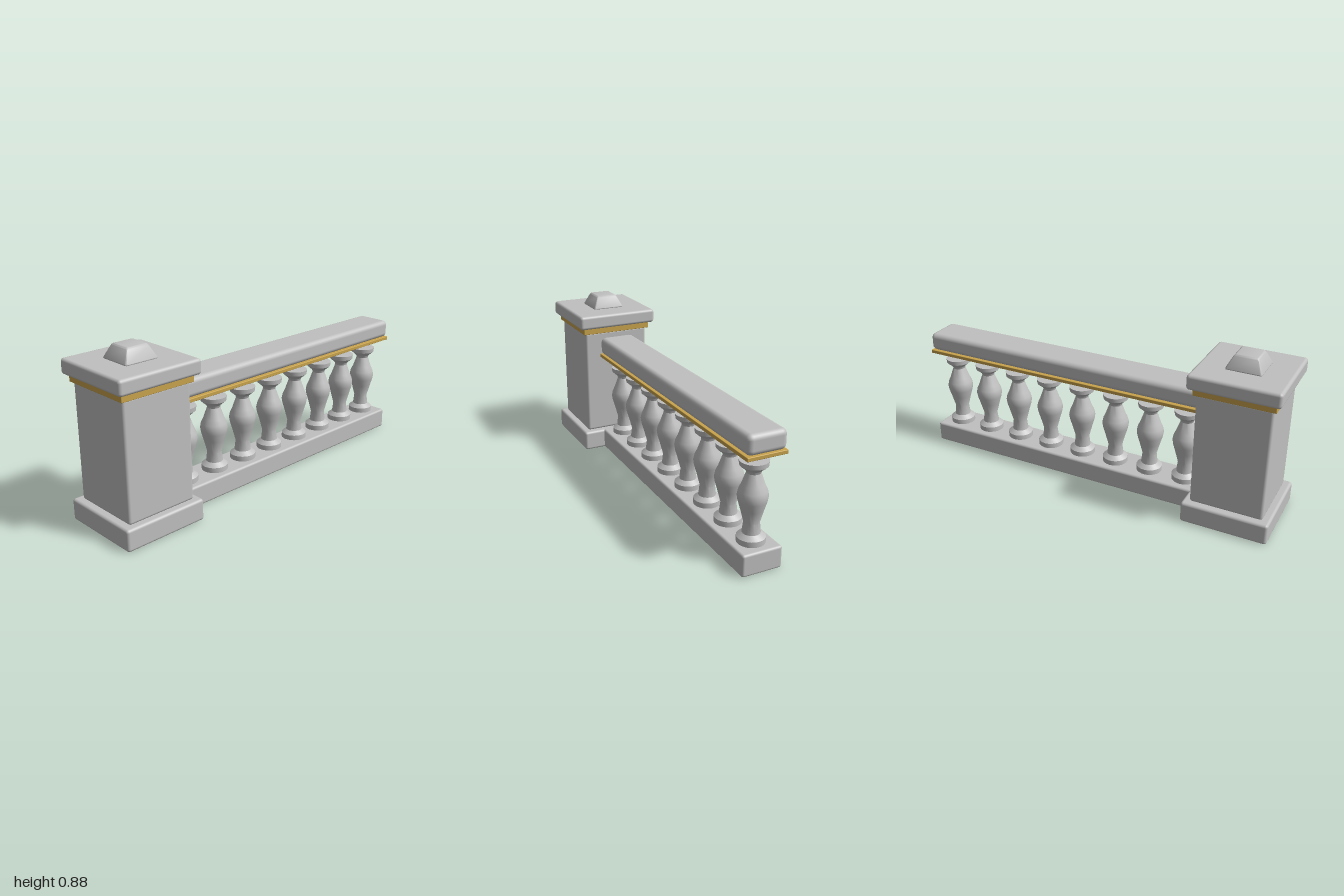
import * as THREE from 'three';
import { RoundedBoxGeometry } from 'three/addons/geometries/RoundedBoxGeometry.js';
import { toCreasedNormals } from 'three/addons/utils/BufferGeometryUtils.js';

const stone = new THREE.MeshStandardMaterial({ color: 0xc0c0c0 });
stone.name = 'stone';
const gold = new THREE.MeshStandardMaterial({ color: 0xc9a44c });
gold.name = 'gold';

// Softened block given by its x range, y range and half depth
function block(name, [x0, x1], [y0, y1], halfZ, radius, material) {
  const geometry = new RoundedBoxGeometry(x1 - x0, y1 - y0, halfZ * 2, 3, radius);
  const mesh = new THREE.Mesh(geometry, material);
  mesh.name = name;
  mesh.position.set((x0 + x1) / 2, (y0 + y1) / 2, 0);
  return mesh;
}

// Corner pier: plinth, shaft, gilt band, cap and tapered finial
function createPier() {
  const pier = new THREE.Group();
  pier.name = 'pier';
  pier.add(
    block('pierPlinth', [-1, -0.558], [0, 0.11], 0.22, 0.014, stone),
    block('pierShaft', [-0.963, -0.592], [0.108, 0.7], 0.186, 0.014, stone),
    block('pierBand', [-0.975, -0.579], [0.694, 0.73], 0.198, 0.003, gold),
    block('pierCap', [-1, -0.553], [0.729, 0.805], 0.225, 0.016, stone)
  );

  const finial = block('pierFinial', [-0.867, -0.687], [0.802, 0.875], 0.09, 0.012, stone);
  const position = finial.geometry.attributes.position;
  for (let i = 0; i < position.count; i++) {
    const height = position.getY(i) / 0.073 + 0.5;
    const scale = 1.03 - 0.4 * height;
    position.setX(i, position.getX(i) * scale);
    position.setZ(i, position.getZ(i) * scale);
  }
  finial.geometry = toCreasedNormals(finial.geometry, 0.5);
  pier.add(finial);
  return pier;
}

// Turned baluster profile: radius, height
const balusterProfile = [
  [0, 0.108], [0.067, 0.108], [0.067, 0.137], [0.043, 0.156], [0.037, 0.207],
  [0.054, 0.271], [0.066, 0.312], [0.07, 0.337], [0.065, 0.362], [0.053, 0.388],
  [0.033, 0.445], [0.037, 0.458], [0.065, 0.482], [0.067, 0.505], [0, 0.505]
].map(([r, y]) => new THREE.Vector2(r, y));

export function createModel() {
  const model = new THREE.Group();
  model.name = 'balustrade';
  model.add(createPier());

  // Bottom rail, handrail and the gilt strip beneath it
  model.add(
    block('bottomRail', [-0.595, 1], [0, 0.11], 0.102, 0.012, stone),
    block('handrail', [-0.595, 1], [0.57, 0.667], 0.098, 0.026, stone),
    block('handrailStrip', [-0.595, 1], [0.552, 0.571], 0.101, 0.003, gold)
  );

  // Row of balusters
  const balusterGeometry = toCreasedNormals(new THREE.LatheGeometry(balusterProfile, 24), 0.6);
  for (let i = 0; i < 8; i++) {
    const baluster = new THREE.Mesh(balusterGeometry, stone);
    baluster.name = `baluster${i + 1}`;
    baluster.position.x = -0.492 + i * 0.1985;
    model.add(baluster);
  }
  return model;
}
